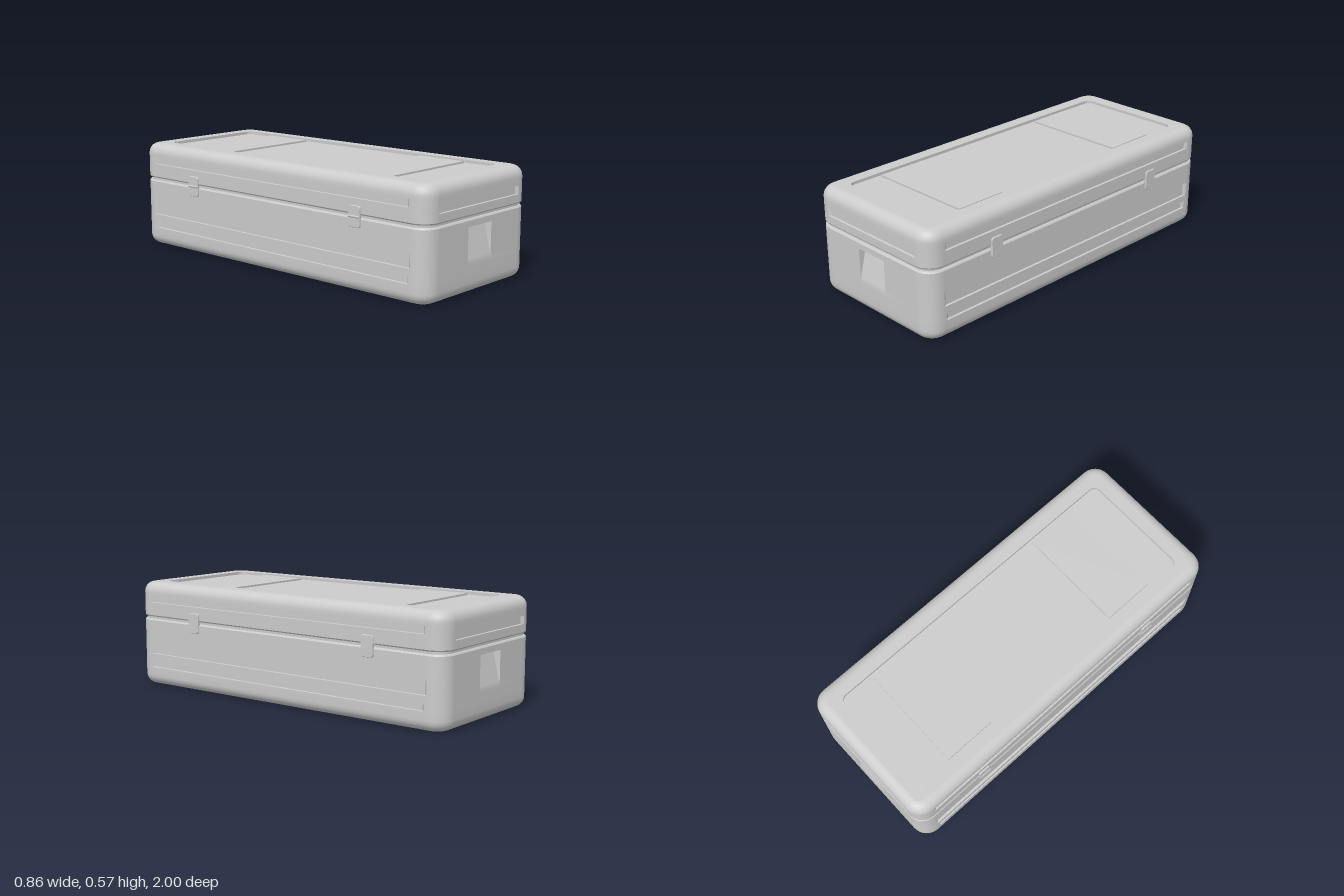
import * as THREE from 'three';
import { toCreasedNormals } from 'three/addons/utils/BufferGeometryUtils.js';

const W = 0.416, L = 1, H = 0.57; // half width, half length, height
const R = 0.09, EDGE = 0.055; // upright corner radius, top and bottom edge radius
const E = 0.0004; // half thickness of a recess wall
const TOP_RECESS = 0.016;

// Slots: half length along the face, height range, depth
const sideSlots = [
  { half: 0.895, y0: 0.1, y1: 0.137, depth: 0.012 },
  { half: 0.907, y0: 0.175, y1: 0.248, depth: 0.012 },
  { half: 0.895, y0: 0.46, y1: 0.5, depth: 0.012 },
];
const endSlots = [{ half: 0.323, y0: 0.43, y1: 0.471, depth: 0.012 }];
const RAMP = 0.014;
const scoop = { half: 0.094, y0: 0.16, y1: 0.33, depth: 0.042 };

function slotDepth(slots, u, y) {
  for (const s of slots) {
    if (Math.abs(u) < s.half && y > s.y0 && y < s.y1) {
      return s.depth * Math.min(1, (s.half - Math.abs(u)) / RAMP);
    }
  }
  return 0;
}

function scoopDepth(u, y) {
  if (Math.abs(u) >= scoop.half || y <= scoop.y0 || y >= scoop.y1) return 0;
  return scoop.depth * (y - scoop.y0) / (scoop.y1 - scoop.y0);
}

// Outline of the case seen from above: a centre, an outward normal, and the flat face it lies on
function outline() {
  const a = W - R, b = L - R, points = [];
  const sideStops = [b], endStops = [a, scoop.half + E, scoop.half - E];
  for (const s of sideSlots) sideStops.push(s.half, s.half - RAMP);
  for (const s of endSlots) endStops.push(s.half, s.half - RAMP);
  const spread = (stops) => [...new Set(stops.flatMap((s) => [s, -s]))].sort((p, q) => p - q);
  for (let side = 0; side < 4; side++) {
    const long = side % 2 === 0;
    const start = side * Math.PI / 2;
    const nx = Math.round(Math.cos(start)), nz = Math.round(Math.sin(start));
    for (const u of spread(long ? sideStops : endStops)) {
      points.push({ cx: nx * a - nz * u, cz: nz * b + nx * u, nx, nz, u, face: long ? 'side' : 'end' });
    }
    const { cx, cz } = points[points.length - 1];
    for (let k = 1; k < 8; k++) {
      const t = start + k / 8 * Math.PI / 2;
      points.push({ cx, cz, nx: Math.cos(t), nz: Math.sin(t) });
    }
  }
  return points;
}

// Height levels with their inset: rounded edges, seam and slot borders
function levels() {
  const list = [];
  for (let k = 0; k <= 7; k++) {
    const t = k / 7 * Math.PI / 2;
    const inset = EDGE * (1 - Math.sin(t)), y = EDGE * (1 - Math.cos(t));
    list.push([y, inset], [H - y, inset]);
  }
  list.push([0.361, 0], [0.368, 0.005], [0.369, 0.014], [0.381, 0.014], [0.382, 0.005], [0.389, 0]);
  for (const s of [...sideSlots, ...endSlots]) {
    for (const y of [s.y0, s.y1]) list.push([y - E, 0], [y + E, 0]);
  }
  list.push([scoop.y0, 0], [scoop.y1 - E, 0], [scoop.y1 + E, 0]);
  return list.sort((p, q) => p[0] - q[0]);
}

function shellGeometry() {
  const ring = outline(), rows = levels(), n = ring.length;
  const pos = [], index = [];
  for (const [y, inset] of rows) {
    for (const p of ring) {
      let d = 0;
      if (p.face === 'side') d = slotDepth(sideSlots, p.u, y);
      if (p.face === 'end') d = slotDepth(endSlots, p.u, y) + scoopDepth(p.u, y);
      const r = R - inset - d;
      pos.push(p.cx + p.nx * r, y, p.cz + p.nz * r);
    }
  }
  for (let i = 0; i < rows.length - 1; i++) {
    for (let j = 0; j < n; j++) {
      const k = (j + 1) % n, a = i * n + j, b = i * n + k;
      index.push(a, a + n, b + n, a, b + n, b);
    }
  }
  // Underside
  const centre = pos.length / 3;
  pos.push(0, 0, 0);
  for (let j = 0; j < n; j++) index.push(centre, j, (j + 1) % n);
  const g = new THREE.BufferGeometry();
  g.setAttribute('position', new THREE.Float32BufferAttribute(pos, 3));
  g.setIndex(index);
  // Enlarged while creasing so that the thin walls stay apart
  g.scale(100, 100, 100);
  const creased = toCreasedNormals(g, 0.5);
  creased.scale(0.01, 0.01, 0.01);
  return creased;
}

function roundedRect(hw, hh, r, Type = THREE.Shape) {
  const s = new Type();
  s.absarc(hw - r, hh - r, r, 0, Math.PI / 2);
  s.absarc(-hw + r, hh - r, r, Math.PI / 2, Math.PI);
  s.absarc(-hw + r, -hh + r, r, Math.PI, Math.PI * 1.5);
  s.absarc(hw - r, -hh + r, r, Math.PI * 1.5, Math.PI * 2);
  s.closePath();
  return s;
}

export function createModel() {
  const model = new THREE.Group();
  model.name = 'storageCase';
  const material = new THREE.MeshStandardMaterial({ color: 0xcccccc });
  const add = (name, geometry, parent = model, x = 0, y = 0, z = 0) => {
    const mesh = new THREE.Mesh(geometry, material);
    mesh.name = name;
    mesh.position.set(x, y, z);
    parent.add(mesh);
    return mesh;
  };

  add('caseShell', shellGeometry());

  // Lid top: a rim around a sunken panel
  const rim = roundedRect(W - EDGE, L - EDGE, R - EDGE);
  rim.holes.push(roundedRect(0.306, 0.882, 0.035, THREE.Path));
  const rimGeometry = new THREE.ExtrudeGeometry(rim, { depth: TOP_RECESS, bevelEnabled: false, curveSegments: 8 });
  rimGeometry.rotateX(-Math.PI / 2);
  add('lidRim', rimGeometry, model, 0, H - TOP_RECESS, 0);
  const panel = new THREE.PlaneGeometry(0.64, 1.79);
  panel.rotateX(-Math.PI / 2);
  add('lidPanel', panel, model, 0, H - TOP_RECESS + 0.0005, 0);

  // Raised bands on the panel
  for (const s of [1, -1]) {
    add(s > 0 ? 'frontBand' : 'backBand', new THREE.BoxGeometry(0.58, 0.01, 0.28), model, 0, H - TOP_RECESS + 0.005, s * 0.55);
  }

  // Latches on the left side, hinges on the right side
  const plate = new THREE.ExtrudeGeometry(roundedRect(0.034, 0.052, 0.012), {
    depth: 0.012, bevelEnabled: true, bevelSize: 0.002, bevelThickness: 0.002, bevelSegments: 1, curveSegments: 4,
  });
  for (const side of [1, -1]) {
    for (const z of [0.572, -0.572]) {
      const fitting = new THREE.Group();
      fitting.name = side > 0 ? 'latch' : 'hinge';
      fitting.position.set(side * (W - 0.005), 0.373, z);
      fitting.rotation.y = side * Math.PI / 2;
      add('plate', plate, fitting);
      if (side < 0) {
        const pin = new THREE.CylinderGeometry(0.006, 0.006, 0.068, 10);
        pin.rotateZ(Math.PI / 2);
        add('hingePin', pin, fitting, 0, 0, 0.013);
      } else {
        for (const x of [-0.012, 0.012]) {
          const rivet = new THREE.CylinderGeometry(0.004, 0.004, 0.002, 8);
          rivet.rotateX(Math.PI / 2);
          add('rivet', rivet, fitting, x, -0.03, 0.0145);
        }
      }
      model.add(fitting);
    }
  }
  return model;
}
